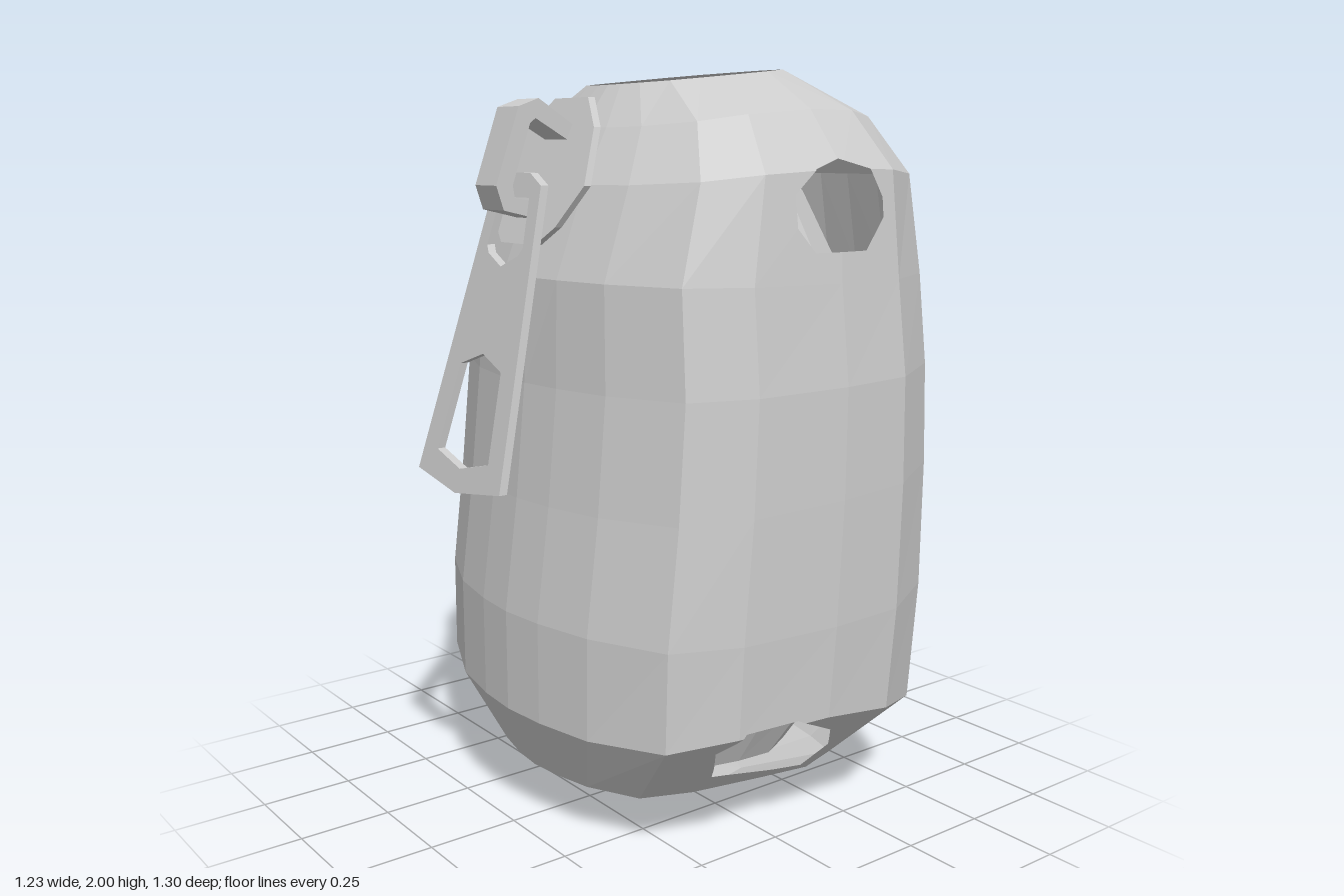
import * as THREE from 'three';

const material = new THREE.MeshStandardMaterial({ color: 0xcccccc, flatShading: true, side: THREE.DoubleSide });

// Rounded-square cross-section (+x half), from back to front, in units of half-width and half-depth
const half = [[0, -1], [.22, -.98], [.47, -.93], [.78, -.83], [.98, -.45], [1, -.05], [.96, .45],
  [.84, .76], [.5, .92], [.22, .98], [0, 1]];
const section = [...half, ...half.slice(1, -1).reverse().map(([u, v]) => [-u, v])];

// Triangles between rings given as [halfWidth, frontZ, frontY, backZ, backY, sideLift]
function loft(rings) {
  const rows = rings.map(([w, zf, yf, zb, yb, lift = 0]) => section.map(([u, v]) => {
    const t = (v + 1) / 2;
    return new THREE.Vector3(w * u, yb + (yf - yb) * t + lift * u * u * (1 - v * v), zb + (zf - zb) * t);
  }));
  const triangles = [], n = section.length;
  for (let i = 0; i < rows.length - 1; i++) {
    for (let j = 0; j < n; j++) {
      const k = (j + 1) % n;
      const a = rows[i][j], b = rows[i][k], c = rows[i + 1][j], d = rows[i + 1][k];
      triangles.push([a, c, b], [b, c, d]);
    }
  }
  return triangles;
}

// Split a convex polygon by a signed distance function
function split(poly, dist) {
  const inside = [], outside = [];
  poly.forEach((p, i) => {
    const q = poly[(i + 1) % poly.length], dp = dist(p), dq = dist(q);
    (dp >= 0 ? inside : outside).push(p);
    if ((dp >= 0) !== (dq >= 0)) {
      const m = p.clone().lerp(q, dp / (dp - dq));
      inside.push(m);
      outside.push(m);
    }
  });
  return [inside, outside];
}

// Cut a convex opening, given as counter-clockwise [z, y] corners, sideways through the polygons
function cutSideways(polys, hole) {
  const kept = [];
  for (let poly of polys) {
    for (let i = 0; i < hole.length && poly.length > 2; i++) {
      const [z0, y0] = hole[i], [z1, y1] = hole[(i + 1) % hole.length];
      const [inside, outside] = split(poly, p => (z1 - z0) * (p.y - y0) - (y1 - y0) * (p.z - z0));
      if (outside.length > 2) kept.push(outside);
      poly = inside;
    }
  }
  return kept;
}

function polygonGeometry(polys) {
  const points = [];
  for (const p of polys) {
    for (let i = 1; i < p.length - 1; i++) {
      const area = p[i].clone().sub(p[0]).cross(p[i + 1].clone().sub(p[0])).length();
      if (area > 1e-7) points.push(p[0], p[i], p[i + 1]);
    }
  }
  const geometry = new THREE.BufferGeometry().setFromPoints(points);
  geometry.computeVertexNormals();
  return geometry;
}

// Closed outline mirrored in x from its +x side, listed top to bottom
function mirrored(points) {
  const left = points.filter(p => p[0] > 0).reverse().map(([x, y]) => [-x, y]);
  return [...points, ...left].map(([x, y]) => new THREE.Vector2(x, y));
}

// Thin plate leaning back: z = base + lean * y
function leaningPlate(outline, holes, depth, base, lean) {
  const shape = new THREE.Shape(mirrored(outline));
  shape.holes = holes.map(h => new THREE.Path(mirrored(h)));
  const geometry = new THREE.ExtrudeGeometry(shape, { depth, bevelEnabled: false });
  const p = geometry.attributes.position;
  for (let i = 0; i < p.count; i++) p.setZ(i, p.getZ(i) - depth / 2 + base + lean * p.getY(i));
  geometry.computeVertexNormals();
  return geometry;
}

export function createModel() {
  const model = new THREE.Group();
  const add = (name, geometry) => {
    const mesh = new THREE.Mesh(geometry, material);
    mesh.name = name;
    model.add(mesh);
  };

  // Outer suit shell, open at the neck
  let shell = loft([
    [0, -.1, .025, -.1, .025],
    [.16, .2, .05, -.24, .005],
    [.4, .43, .15, -.45, .07, .02],
    [.61, .51, .33, -.61, .25, .07],
    [.615, .51, .6, -.64, .6],
    [.61, .47, .9, -.645, .95],
    [.6, .44, 1.2, -.64, 1.22],
    [.57, .43, 1.47, -.63, 1.46],
    [.54, .34, 1.7, -.59, 1.72, .03],
    [.42, .25, 1.84, -.51, 1.87, .03],
    [.22, .17, 1.95, -.32, 2],
  ]);

  // Arm and leg openings on both sides
  const armHole = [[0, 1.6], [0, 1.68], [-.07, 1.74], [-.15, 1.765], [-.25, 1.74], [-.29, 1.67],
    [-.29, 1.62], [-.22, 1.54], [-.05, 1.54]];
  const legHole = [[.17, .2], [.23, .31], [.18, .37], [.02, .37], [-.14, .29], [-.2, .21], [-.17, .13]];
  shell = cutSideways(cutSideways(shell, armHole), legHole);
  add('suitShell', polygonGeometry(shell));

  // Trunk inside the shell
  add('innerTrunk', polygonGeometry(loft([
    [0, 0, .1, 0, .1],
    [.32, .28, .17, -.3, .13],
    [.42, .36, .36, -.46, .34],
    [.44, .33, .9, -.49, .9],
    [.38, .27, 1.45, -.46, 1.45],
    [.28, .18, 1.68, -.36, 1.68],
    [.14, .1, 1.77, -.18, 1.79],
    [0, -.04, 1.79, -.04, 1.79],
  ])));

  // Fastener plate on the chest
  add('fastenerPlate', leaningPlate(
    [[.075, 1.915], [.15, 1.84], [.2, 1.7], [.14, 1.6], [.08, 1.555]], [], .02, 1.165, -.465));

  // Pull tab with an upper slot and a lower window
  add('pullTab', leaningPlate(
    [[.05, 1.73], [.11, 1.7], [.203, .97], [0, .94]],
    [
      [[.068, 1.67], [.085, 1.55], [.07, 1.53], [0, 1.5]],
      [[0, 1.285], [.1, 1.25], [.127, 1.03], [0, 1]],
    ], .022, .888, -.264));

  // Angular loop holding the tab, drawn as [z, y] and extruded across x
  const loop = [[.31, 1.846], [.414, 1.91], [.472, 1.89], [.54, 1.7], [.52, 1.64], [.39, 1.61],
    [.37, 1.65], [.488, 1.67], [.493, 1.7], [.44, 1.85], [.424, 1.862], [.33, 1.81]];
  const loopGeometry = new THREE.ExtrudeGeometry(
    new THREE.Shape(loop.map(([z, y]) => new THREE.Vector2(z, y))), { depth: .1, bevelEnabled: false });
  loopGeometry.translate(0, 0, -.05).rotateY(-Math.PI / 2);
  add('tabLoop', loopGeometry);

  return model;
}
